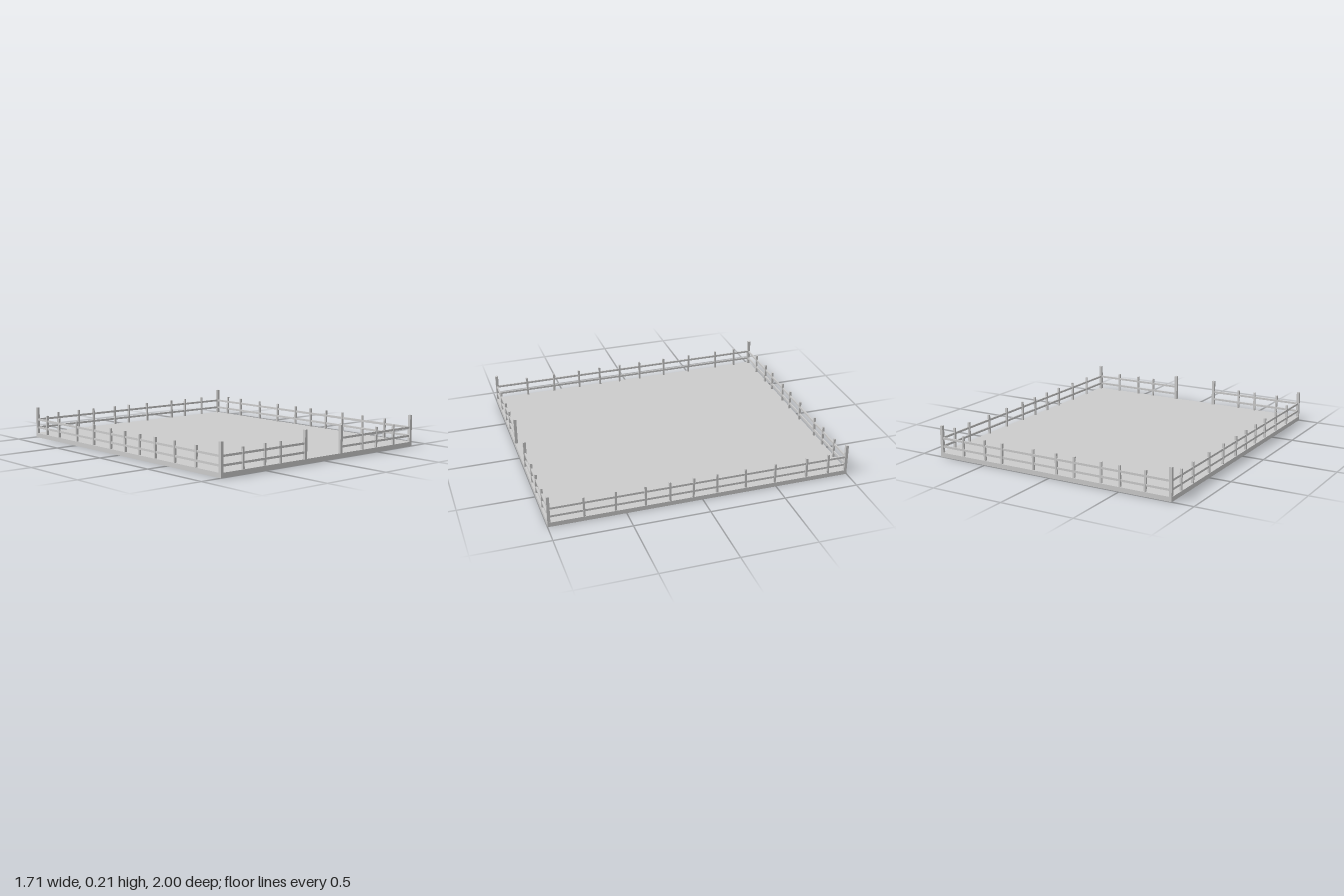
import * as THREE from 'three';

export function createModel() {
  const model = new THREE.Group();
  const grey = new THREE.MeshStandardMaterial({ color: 0xcccccc });
  grey.name = 'grey';

  function box(parent, name, size, pos) {
    const mesh = new THREE.Mesh(new THREE.BoxGeometry(...size), grey);
    mesh.name = name;
    mesh.position.set(...pos);
    parent.add(mesh);
    return mesh;
  }

  const X = 0.845, Z = 0.99, GATE = 0.16, FLOOR = 0.03;

  // Floor slab
  box(model, 'floor', [1.71, FLOOR, 2], [0, FLOOR / 2, 0]);

  // Tall posts at the corners and either side of the gateway
  for (const [x, z] of [[-X, -Z], [X, -Z], [-X, Z], [X, Z], [-GATE, Z], [GATE, Z]]) {
    box(model, 'tallPost', [0.019, 0.185, 0.019], [x, 0.1195, z]);
  }

  // One fence run along local x: two rails and slightly leaning short posts
  function fence(name, from, to, posts) {
    const run = new THREE.Group();
    run.name = name;
    for (const y of [0.071, 0.127]) {
      box(run, 'rail', [to - from, 0.014, 0.009], [(from + to) / 2, y, 0]);
    }
    posts.forEach((x, i) => {
      const post = box(run, 'shortPost', [0.013, 0.138, 0.014], [x, 0.096, 0]);
      post.rotation.z = [0.03, -0.02, 0.01][i % 3];
    });
    model.add(run);
    return run;
  }

  fence('frontRightFence', -X, -GATE, [-0.675, -0.5, -0.37]).position.z = Z;
  fence('frontLeftFence', GATE, X, [0.365, 0.5, 0.672]).position.z = Z;
  fence('backFence', -X, X,
    [-0.675, -0.5, -0.37, -0.178, -0.048, 0.124, 0.365, 0.5, 0.672]).position.z = -Z;

  // Side fences, turned so local x runs towards the back
  const sidePosts = [-0.768, -0.567, -0.375, -0.215, -0.06, 0.097, 0.29, 0.492, 0.712, 0.865];
  for (const [name, side] of [['rightFence', -1], ['leftFence', 1]]) {
    const run = fence(name, -Z, Z, sidePosts);
    run.rotation.y = Math.PI / 2;
    run.position.x = side * X;
  }

  return model;
}
